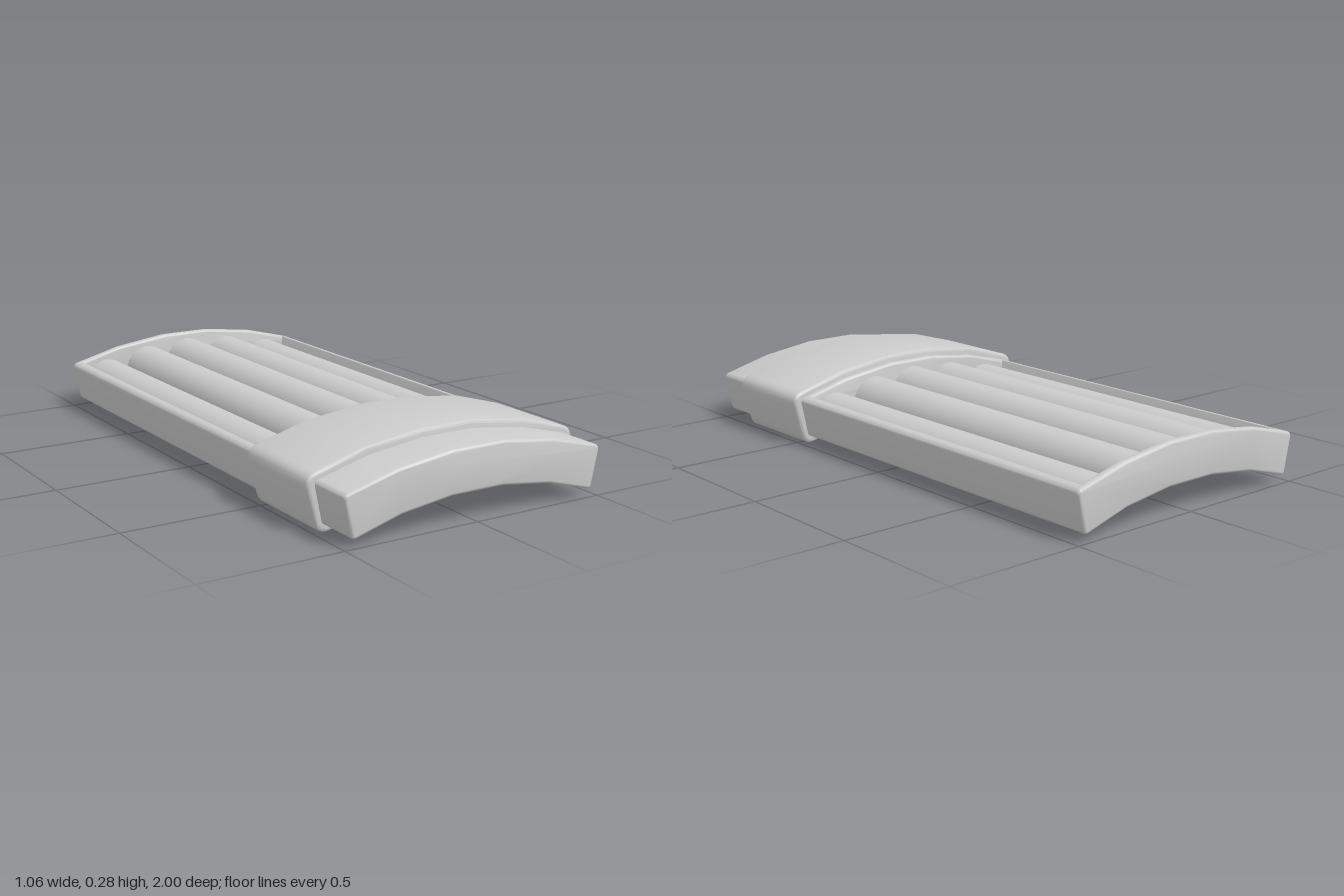
import * as THREE from 'three';
import { toCreasedNormals } from 'three/addons/utils/BufferGeometryUtils.js';

const material = new THREE.MeshStandardMaterial({ color: 0xcccccc });

// Closed shape through [x, y, cornerRadius] points; radius 0 keeps the corner sharp
function roundedShape(points) {
  const shape = new THREE.Shape();
  const n = points.length;
  points.forEach(([x, y, r], i) => {
    const p = new THREE.Vector2(x, y);
    const towards = (q) => new THREE.Vector2(q[0], q[1]).sub(p).setLength(r).add(p);
    const a = towards(points[(i + n - 1) % n]);
    const b = towards(points[(i + 1) % n]);
    if (i === 0) shape.moveTo(a.x, a.y);
    else shape.lineTo(a.x, a.y);
    if (r > 0) shape.quadraticCurveTo(x, y, b.x, b.y);
  });
  shape.closePath();
  return shape;
}

// Mirrors a right-hand row of points (listed outward from the middle) to the full width
const fullRow = (half) => [...half.map(([x, y, r]) => [-x, y, r]).reverse(), ...half];

// Curved bar section from its lower and upper half rows
const barSection = (bottom, top) => roundedShape([...fullRow(bottom), ...fullRow(top).reverse()]);

// Extrusion between two z positions, with its end edges softened inside the outline
function bar(name, shape, z0, z1, bevel) {
  const geometry = new THREE.ExtrudeGeometry(shape, {
    depth: z1 - z0 - 2 * bevel,
    bevelEnabled: bevel > 0,
    bevelThickness: bevel,
    bevelSize: bevel,
    bevelOffset: -bevel,
    bevelSegments: 3,
    curveSegments: 5,
  });
  geometry.translate(0, 0, z0 + bevel);
  const mesh = new THREE.Mesh(toCreasedNormals(geometry, 0.6), material);
  mesh.name = name;
  return mesh;
}

export function createModel() {
  const model = new THREE.Group();
  model.name = 'curvedTubeCase';

  // Tray: solid front block, thin back wall, open channel between
  const trayBottom = [[0.1, 0.105, 0], [0.29, 0.08, 0], [0.472, 0.028, 0.018]];
  const trayTop = [[0.1, 0.255, 0], [0.305, 0.228, 0], [0.503, 0.177, 0.018]];
  const traySection = barSection(trayBottom, trayTop);
  model.add(bar('frontBlock', traySection, 0.443, 1, 0.01));
  model.add(bar('backWall', traySection, -1, -0.968, 0.01));

  const channel = roundedShape([
    ...fullRow(trayBottom),
    [0.503, 0.177, 0.018], [0.468, 0.186, 0.006], [0.447, 0.06, 0],
    ...fullRow([[0.1, 0.125, 0], [0.29, 0.1, 0]]).reverse(),
    [-0.447, 0.06, 0], [-0.468, 0.186, 0.006], [-0.503, 0.177, 0.018],
  ]);
  model.add(bar('trayChannel', channel, -0.985, 0.46, 0));

  // Sleeve wrapped round the tray
  const sleeveSection = barSection(
    [[0.1, 0.077, 0], [0.285, 0.051, 0], [0.485, -0.006, 0.045]],
    [[0.1, 0.283, 0], [0.315, 0.255, 0], [0.537, 0.192, 0.045]],
  );
  model.add(bar('sleeve', sleeveSection, 0.463, 0.832, 0.012));

  // Five half-round tubes following the curve of the tray
  const tubes = new THREE.Group();
  tubes.name = 'tubes';
  const radius = 0.0915;
  const length = 1.425;
  const tubeMaterial = material.clone();
  tubeMaterial.side = THREE.DoubleSide;
  for (let i = -2; i <= 2; i++) {
    const angle = i * 0.125;
    const geometry = new THREE.CylinderGeometry(
      radius, radius, length, 28, 1, true, Math.PI / 2 - 0.15, Math.PI + 0.3);
    geometry.rotateX(Math.PI / 2);
    geometry.rotateZ(-angle);
    const tube = new THREE.Mesh(geometry, tubeMaterial);
    tube.name = `tube${i + 3}`;
    tube.position.set(1.475 * Math.sin(angle), 0.138 - 1.475 * (1 - Math.cos(angle)), -0.2625);
    tubes.add(tube);
  }
  model.add(tubes);

  return model;
}
